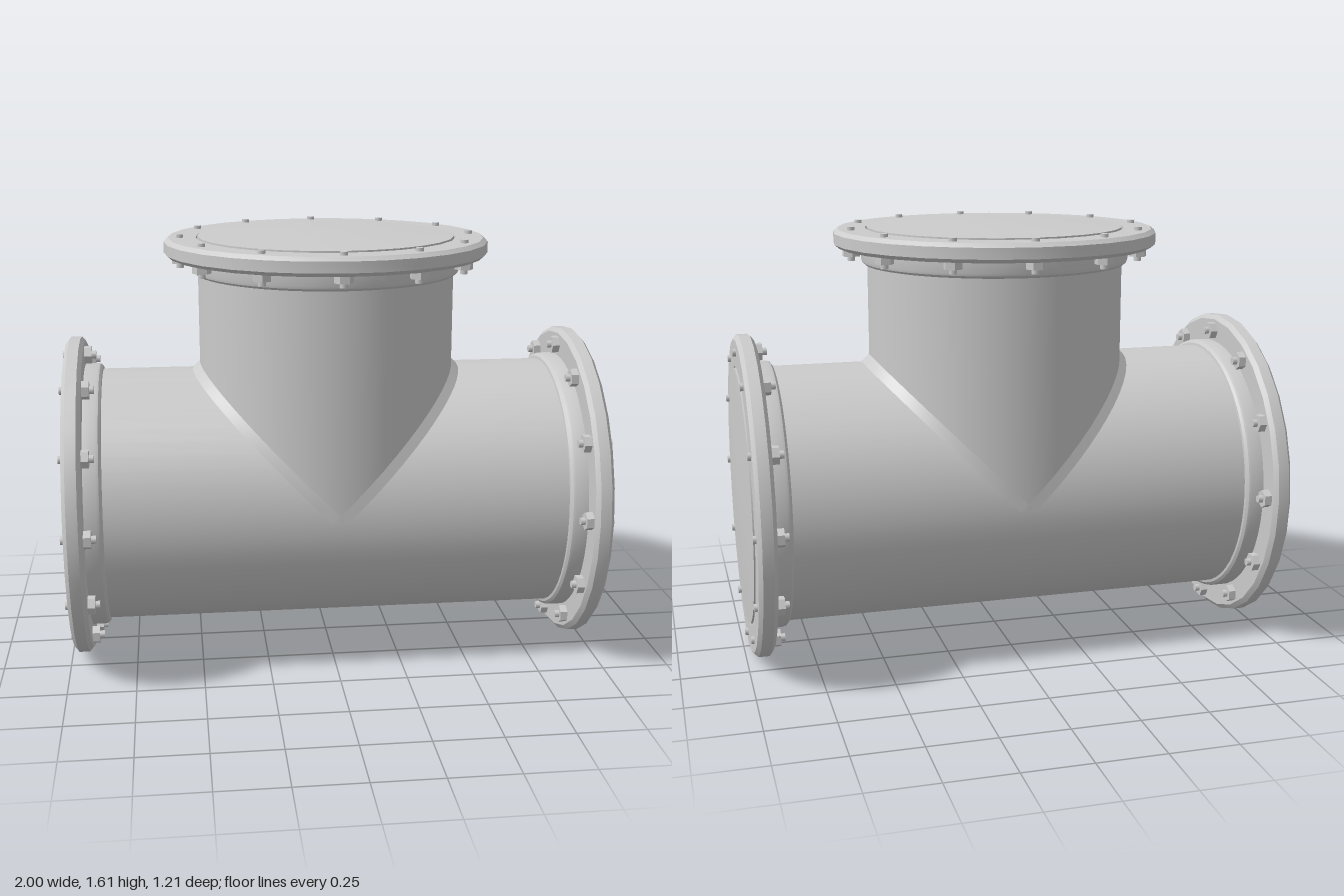
import * as THREE from 'three';
import { toCreasedNormals } from 'three/addons/utils/BufferGeometryUtils.js';

const R = 0.48;        // pipe radius
const AXIS = 0.605;    // height of the run's axis
const SEG = 56;
const mat = new THREE.MeshStandardMaterial({ color: 0xcccccc });
const matDouble = new THREE.MeshStandardMaterial({ color: 0xcccccc, side: THREE.DoubleSide });

function add(parent, geo, name, material = mat) {
  const m = new THREE.Mesh(geo, material);
  m.name = name;
  parent.add(m);
  return m;
}

function lathe(points, seg) {
  const g = new THREE.LatheGeometry(points.map(p => new THREE.Vector2(...p)), seg);
  return toCreasedNormals(g, 0.5);
}

// Pipe along +y whose inner end is mitred by trim(x)
function mitredPipe(trim) {
  const end = 0.92;
  const g = new THREE.CylinderGeometry(R, R, end, SEG, 1, true);
  g.translate(0, end / 2, 0);
  const p = g.attributes.position;
  for (let i = 0; i < p.count; i++) {
    if (p.getY(i) < 0.01) p.setY(i, trim(p.getX(i)));
  }
  return g;
}

// Collar, flange, domed cover and bolts at the outer end of an arm
function flangedEnd(parent) {
  add(parent, lathe([
    [R, 0.846], [0.49, 0.848], [0.499, 0.856], [0.502, 0.866], [0.502, 0.915],
  ], SEG), 'collar');

  add(parent, lathe([
    [0.47, 0.912], [0.588, 0.912], [0.605, 0.926], [0.605, 0.966],
    [0.588, 0.98], [0.486, 0.98], [0.486, 0.965], [0.47, 0.965],
  ], 28), 'flange');

  add(parent, lathe([
    [0.48, 0.96], [0.48, 0.985], [0.32, 0.992], [0.16, 0.997], [0, 1],
  ], 28), 'cover');

  const nutGeo = toCreasedNormals(new THREE.CylinderGeometry(0.034, 0.034, 0.028, 6), 0.5);
  const shankGeo = new THREE.CylinderGeometry(0.014, 0.014, 0.124, 10);
  const bolts = new THREE.Group();
  bolts.name = 'bolts';
  for (let i = 0; i < 12; i++) {
    const a = i * Math.PI / 6;
    const x = 0.545 * Math.cos(a), z = 0.545 * Math.sin(a);
    const nut = add(bolts, nutGeo, 'nut');
    nut.position.set(x, 0.899, z);
    nut.rotation.y = -a;
    add(bolts, shankGeo, 'boltShank').position.set(x, 0.93, z);
  }
  parent.add(bolts);
}

// Chamfered weld along one half of the mitre between branch and run
function weldSeam(side) {
  const n = SEG / 2, d = 0.028, r = R * 1.002;
  const pos = [], idx = [];
  for (let i = 0; i <= n; i++) {
    const t = -Math.PI / 2 + Math.PI * i / n;
    const c = r * Math.cos(t), s = r * Math.sin(t);
    pos.push(side * c, c + d, s, side * (c + d), c, s);
    if (i < n) {
      const k = i * 2;
      idx.push(k, k + 2, k + 1, k + 1, k + 2, k + 3);
    }
  }
  if (side < 0) idx.reverse();
  const g = new THREE.BufferGeometry();
  g.setAttribute('position', new THREE.Float32BufferAttribute(pos, 3));
  g.setIndex(idx);
  g.computeVertexNormals();
  return g;
}

export function createModel() {
  const model = new THREE.Group();
  model.name = 'pipeTee';

  const arms = [
    { name: 'branchArm', turn: 0, trim: x => Math.abs(x) },
    { name: 'leftArm', turn: -Math.PI / 2, trim: x => Math.max(0, -x) },
    { name: 'rightArm', turn: Math.PI / 2, trim: x => Math.max(0, x) },
  ];
  for (const { name, turn, trim } of arms) {
    const arm = new THREE.Group();
    arm.name = name;
    arm.position.y = AXIS;
    arm.rotation.z = turn;
    add(arm, mitredPipe(trim), 'pipe');
    flangedEnd(arm);
    model.add(arm);
  }

  for (const side of [1, -1]) {
    add(model, weldSeam(side), 'weldSeam', matDouble).position.y = AXIS;
  }
  return model;
}
